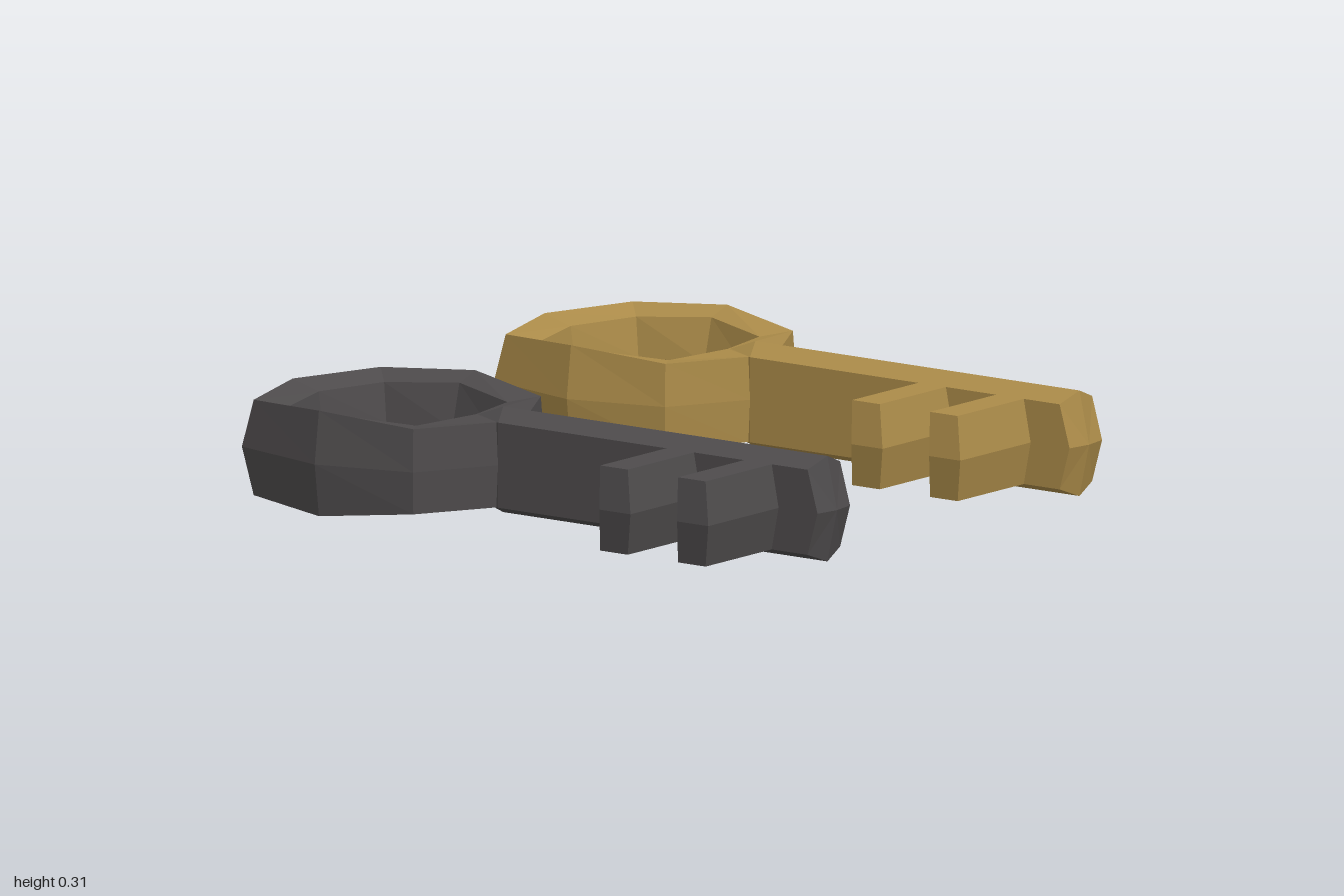
import * as THREE from 'three';

const MID = 0.155; // half the key's height, its plane of symmetry
const flip = (y) => 2 * MID - y;

// Skins a list of equal-length sections of [x, y, z] points; closed joins the last to the first
function loft(sections, closed = false) {
  const pos = [];
  const n = sections[0].length;
  const tri = (...pts) => {
    const [a, b, c] = pts.map((p) => new THREE.Vector3(...p));
    const area = b.clone().sub(a).cross(c.clone().sub(a)).length();
    if (area > 1e-7) pts.forEach((p) => pos.push(...p));
  };
  const count = closed ? sections.length : sections.length - 1;
  for (let s = 0; s < count; s++) {
    const A = sections[s];
    const B = sections[(s + 1) % sections.length];
    for (let k = 0; k < n; k++) {
      const j = (k + 1) % n;
      tri(A[k], A[j], B[j]);
      tri(A[k], B[j], B[k]);
    }
  }
  const g = new THREE.BufferGeometry();
  g.setAttribute('position', new THREE.Float32BufferAttribute(pos, 3));
  g.computeVertexNormals();
  return g;
}

// Eight-sided bow with a wedge reaching to the shaft
function bowGeometry() {
  // each station: outer [x, z], ridge [x, z, y], inner rim [x, z, y], hole [x, z]
  const half = [
    [[0.077, -0.17], [0.077, -0.178, 0.28], [0, -0.31, 0.275], [0, -0.33]],
    [[0.31, -0.3], [0.302, -0.305, 0.28], [0.215, -0.36, 0.27], [0.2, -0.38]],
    [[0.39, -0.595], [0.37, -0.595, 0.31], [0.295, -0.595, 0.285], [0.262, -0.595]],
    [[0.31, -0.92], [0.3, -0.885, 0.295], [0.23, -0.818, 0.27], [0.217, -0.8]],
  ];
  const back = [[-0.015, -1], [-0.015, -0.962, 0.302], [-0.012, -0.87, 0.275], [-0.012, -0.853]];
  const mirrored = half.map((st) => st.map(([x, ...r]) => [-x, ...r])).reverse();
  const sections = [...half, back, ...mirrored].map(([o, r, i, h]) => [
    [h[0], MID, h[1]],
    [i[0], i[2], i[1]],
    [r[0], r[2], r[1]],
    [o[0], MID, o[1]],
    [r[0], flip(r[2]), r[1]],
    [i[0], flip(i[2]), i[1]],
  ]);
  return loft(sections, true);
}

// Ridged shaft with a blunt, pointed end
function shaftGeometry() {
  const section = (w, peak, side, zPeak, zSide, zMid) => [
    [0, peak, zPeak], [-w, side, zSide], [-w, MID, zMid], [-w, flip(side), zSide],
    [0, flip(peak), zPeak], [w, flip(side), zSide], [w, MID, zMid], [w, side, zSide],
  ];
  return loft([
    section(0.04, 0.277, 0.265, -0.3, -0.29, -0.29),
    section(0.077, 0.31, 0.28, -0.21, -0.17, -0.17),
    section(0.077, 0.31, 0.28, 0.965, 0.952, 0.988),
    Array(8).fill([0, MID, 1]),
  ]);
}

// Tooth with a flat back, a ridged front and a ridged tip
function toothGeometry(z) {
  const section = (xEdge, xMid, inset) => [
    [xEdge, 0.28, z + 0.1], [xEdge, 0.28, z], [xMid, MID, z + inset],
    [xEdge, flip(0.28), z], [xEdge, flip(0.28), z + 0.1], [xMid, MID, z + 0.125],
  ];
  return loft([
    section(-0.05, -0.05, 0),
    section(-0.39, -0.41, 0.012),
    Array(6).fill([-0.41, MID, z + 0.06]),
  ]);
}

function buildKey(name, material, x) {
  const key = new THREE.Group();
  key.name = name;
  key.position.x = x;
  const add = (part, geometry) => {
    const mesh = new THREE.Mesh(geometry, material);
    mesh.name = part;
    key.add(mesh);
  };
  add('bow', bowGeometry());
  add('shaft', shaftGeometry());
  add('innerTooth', toothGeometry(0.44));
  add('outerTooth', toothGeometry(0.722));
  return key;
}

export function createModel() {
  const iron = new THREE.MeshStandardMaterial({ color: 0x4e4b4c });
  iron.name = 'darkIron';
  const gold = new THREE.MeshStandardMaterial({ color: 0xab8b49 });
  gold.name = 'oldGold';
  iron.flatShading = gold.flatShading = true;

  const model = new THREE.Group();
  model.name = 'keys';
  model.add(buildKey('ironKey', iron, -0.59), buildKey('goldKey', gold, 0.603));
  return model;
}
